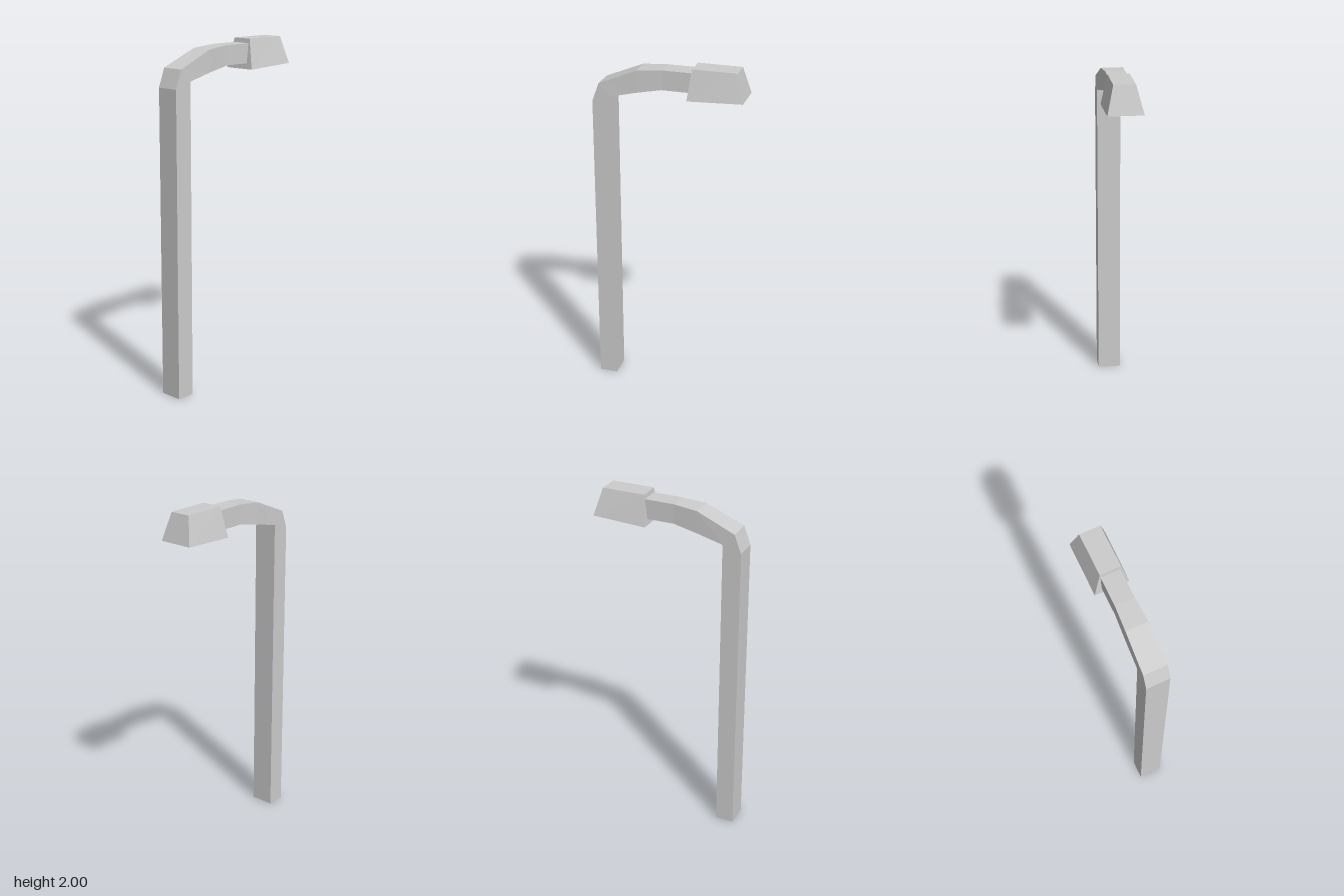
import * as THREE from 'three';

const material = new THREE.MeshStandardMaterial({ color: 0xcccccc, flatShading: true });

// Skins a run of four-cornered rings and caps both ends.
// Rings run counter-clockwise when seen from the far end of the run.
function loft(name, rings) {
  const position = rings.flat(2);
  const index = [];
  const quad = (a, b, c, d) => index.push(a, b, c, a, c, d);
  for (let r = 0; r < rings.length - 1; r++) {
    for (let i = 0; i < 4; i++) {
      const a = r * 4 + i, b = r * 4 + (i + 1) % 4;
      quad(a, b, b + 4, a + 4);
    }
  }
  const last = (rings.length - 1) * 4;
  quad(3, 2, 1, 0);
  quad(last, last + 1, last + 2, last + 3);
  const indexed = new THREE.BufferGeometry();
  indexed.setAttribute('position', new THREE.Float32BufferAttribute(position, 3));
  indexed.setIndex(index);
  const geometry = indexed.toNonIndexed();
  geometry.computeVertexNormals();
  const mesh = new THREE.Mesh(geometry, material);
  mesh.name = name;
  return mesh;
}

// One ring from its inner and outer points in the xy plane and its z extents.
const ring = ([ix, iy], [ox, oy], zMax, zMin = -zMax) => [
  [ix, iy, zMax], [ix, iy, zMin], [ox, oy, zMin], [ox, oy, zMax],
];

export function createModel() {
  const group = new THREE.Group();
  group.name = 'streetLamp';

  // Square post that bends over into a slightly tapering arm
  group.add(loft('postAndArm', [
    ring([-0.326, 0], [-0.432, 0], 0.068),
    ring([-0.326, 1.798], [-0.432, 1.765], 0.068),
    ring([-0.325, 1.8], [-0.393, 1.87], 0.068),
    ring([-0.175, 1.836], [-0.175, 1.962], 0.063),
    ring([-0.035, 1.863], [-0.035, 1.975], 0.055),
    ring([0.14, 1.863], [0.14, 1.975], 0.055),
  ]));

  // Tapered lamp head with a slightly sloping underside
  group.add(loft('lampHead', [
    ring([0.43, 1.845], [0.118, 1.83], 0.098),
    ring([0.388, 2], [0.138, 2], 0.062, -0.057),
  ]));

  return group;
}
